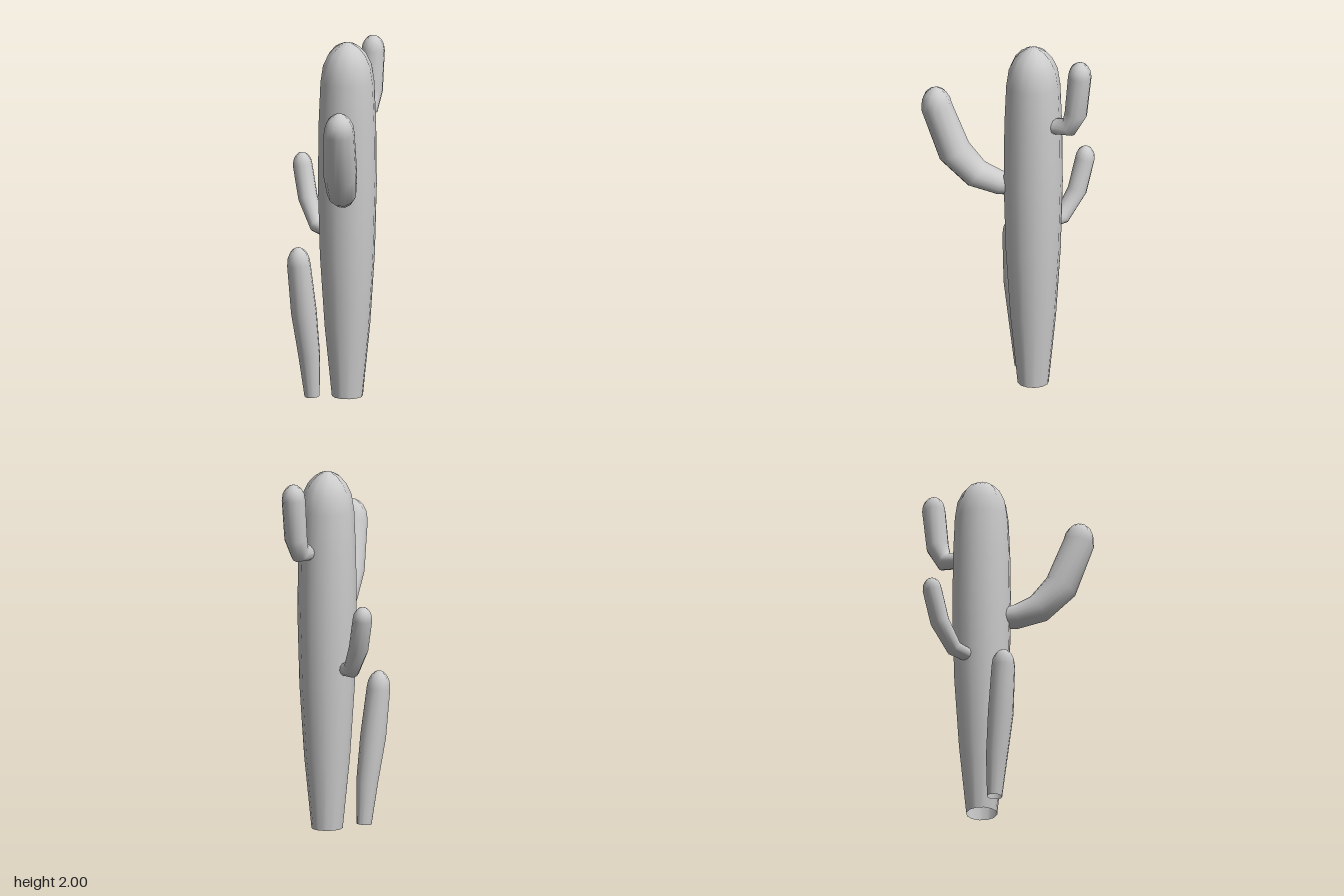
import * as THREE from 'three';

const RIBS = 12;
const SIDES = RIBS * 2;
const material = new THREE.MeshStandardMaterial({ color: 0xcccccc, side: THREE.DoubleSide });

// Lofts a ribbed stem through [x, y, z, radius] stations and closes it with a fluted dome up to the tip.
function stem(name, stations, tip) {
  const flat = Math.cos(Math.PI / RIBS);
  const rings = stations.map(([x, y, z, r]) => ({ p: new THREE.Vector3(x, y, z), r, valley: flat }));

  // Dome rings: the valleys between the ribs deepen towards the tip
  const base = rings[rings.length - 1];
  const top = new THREE.Vector3(...tip);
  for (const [deg, valley] of [[25, 0.95], [45, 0.91], [62, 0.83], [76, 0.76], [85, 0.85]]) {
    const a = THREE.MathUtils.degToRad(deg);
    rings.push({ p: base.p.clone().lerp(top, Math.sin(a)), r: base.r * Math.cos(a), valley });
  }

  // Carry one frame along the path so the ribs do not twist
  const positions = [];
  const normal = new THREE.Vector3(0, 1, 0);
  const u = new THREE.Vector3(1, 0, 0);
  rings.forEach(({ p, r, valley }, i) => {
    const next = (i + 1 < rings.length ? rings[i + 1].p : top).clone().sub(p).normalize();
    const prev = i > 0 ? p.clone().sub(rings[i - 1].p).normalize() : next;
    const n = next.clone().add(prev).normalize();
    u.applyQuaternion(new THREE.Quaternion().setFromUnitVectors(normal, n));
    normal.copy(n);
    const v = n.clone().cross(u);
    for (let j = 0; j < SIDES; j++) {
      const a = (j / SIDES) * Math.PI * 2;
      const d = j % 2 ? r * valley : r;
      const q = p.clone().addScaledVector(u, Math.cos(a) * d).addScaledVector(v, Math.sin(a) * d);
      positions.push(q.x, q.y, q.z);
    }
  });
  positions.push(...tip);

  const index = [];
  const tipIndex = rings.length * SIDES;
  for (let i = 0; i < rings.length; i++) {
    for (let j = 0; j < SIDES; j++) {
      const a = i * SIDES + j;
      const b = i * SIDES + ((j + 1) % SIDES);
      if (i === rings.length - 1) index.push(a, b, tipIndex);
      else index.push(a, b, b + SIDES, a, b + SIDES, a + SIDES);
    }
  }

  const geometry = new THREE.BufferGeometry();
  geometry.setAttribute('position', new THREE.Float32BufferAttribute(positions, 3));
  geometry.setIndex(index);
  geometry.computeVertexNormals();
  const mesh = new THREE.Mesh(geometry, material);
  mesh.name = name;
  return mesh;
}

export function createModel() {
  const group = new THREE.Group();
  group.name = 'cactus';

  // Main column, tapering to a narrow open foot
  group.add(stem('trunk', [
    [0.07, 0, -0.12, 0.086],
    [0.07, 0.4, -0.12, 0.126],
    [0.07, 0.8, -0.12, 0.152],
    [0.07, 1.2, -0.12, 0.163],
    [0.07, 1.55, -0.12, 0.159],
    [0.07, 1.78, -0.12, 0.149],
  ], [0.07, 2, -0.12]));

  // Thick arm reaching forward
  group.add(stem('frontArm', [
    [0.085, 1.17, -0.03, 0.06],
    [0.117, 1.18, 0.06, 0.068],
    [0.162, 1.23, 0.18, 0.082],
    [0.202, 1.36, 0.295, 0.093],
    [0.233, 1.62, 0.388, 0.086],
  ], [0.237, 1.735, 0.396]));

  // High arm at the back
  group.add(stem('backArm', [
    [0.1, 1.565, -0.24, 0.044],
    [0.1, 1.578, -0.35, 0.053],
    [0.1, 1.67, -0.391, 0.063],
    [0.1, 1.89, -0.414, 0.065],
  ], [0.1, 1.975, -0.416]));

  // Small arm at the side
  group.add(stem('sideArm', [
    [-0.04, 0.908, -0.14, 0.036],
    [-0.14, 0.925, -0.2, 0.046],
    [-0.22, 1.06, -0.253, 0.054],
    [-0.263, 1.235, -0.28, 0.054],
  ], [-0.27, 1.307, -0.284]));

  // Young shoot standing beside the trunk
  group.add(stem('shoot', [
    [-0.083, 0.015, 0.016, 0.042],
    [-0.093, 0.25, 0.033, 0.06],
    [-0.112, 0.5, 0.064, 0.071],
    [-0.132, 0.77, 0.087, 0.065],
  ], [-0.137, 0.868, 0.09]));

  return group;
}
